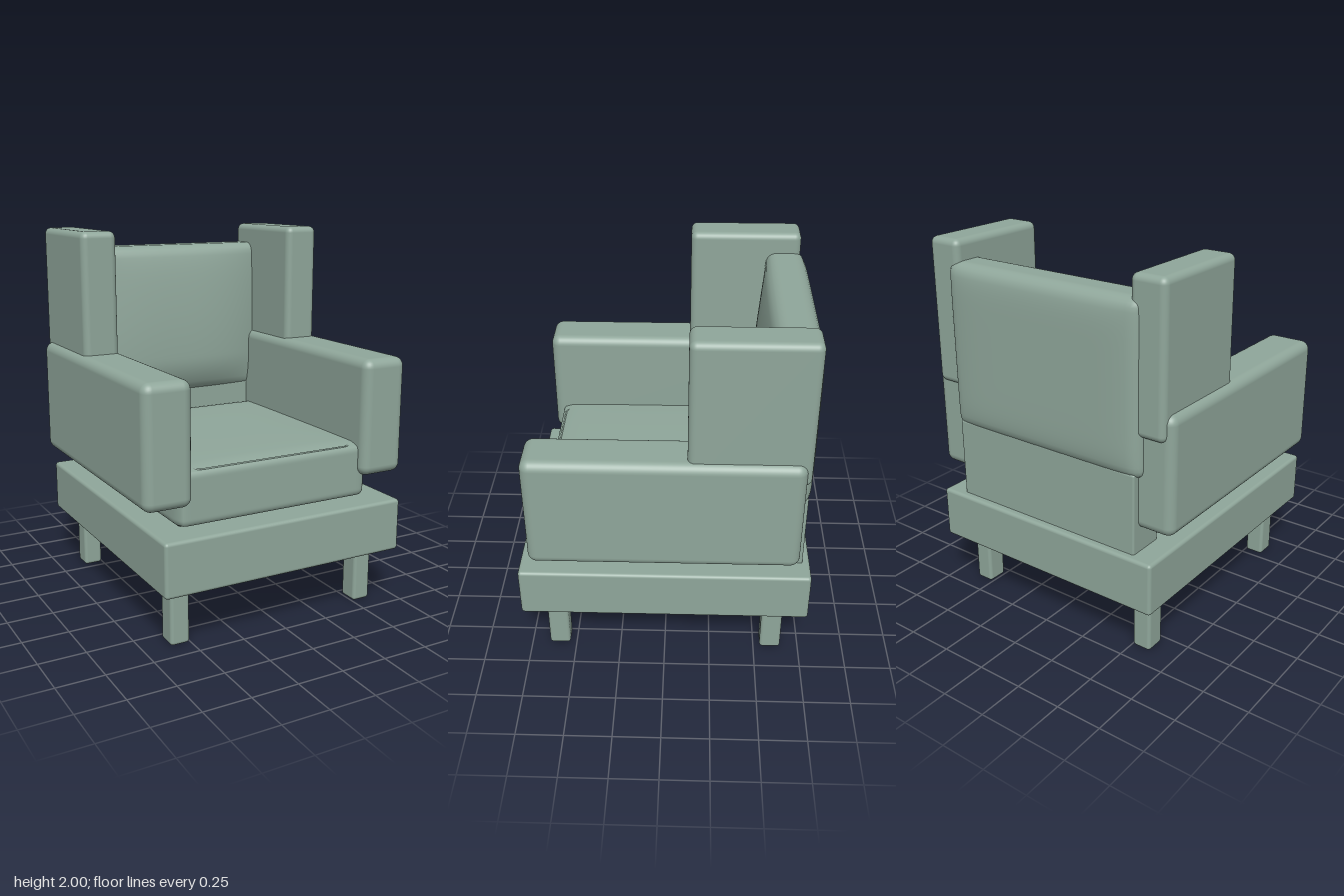
import * as THREE from 'three';
import { RoundedBoxGeometry } from 'three/addons/geometries/RoundedBoxGeometry.js';
import { mergeVertices } from 'three/addons/utils/BufferGeometryUtils.js';

const fabric = new THREE.MeshStandardMaterial({ color: 0x8fa69a });

// Rounded block given by its minimum and maximum corners
function block(name, min, max, radius) {
  const [w, h, d] = max.map((v, i) => v - min[i]);
  const mesh = new THREE.Mesh(new RoundedBoxGeometry(w, h, d, 4, radius), fabric);
  mesh.position.set(...max.map((v, i) => (v + min[i]) / 2));
  mesh.name = name;
  return mesh;
}

// Finely divided rounded block whose surface is pushed out by a rule
function cushion(name, min, max, radius, bulge) {
  const size = new THREE.Vector3(...max).sub(new THREE.Vector3(...min));
  const inner = size.clone().multiplyScalar(0.5).subScalar(radius);
  let geo = new THREE.BoxGeometry(size.x, size.y, size.z, 48, 40, 20);
  geo.deleteAttribute('uv');
  geo.deleteAttribute('normal');
  geo = mergeVertices(geo);
  const pos = geo.attributes.position;
  const p = new THREE.Vector3(), core = new THREE.Vector3();
  for (let i = 0; i < pos.count; i++) {
    p.fromBufferAttribute(pos, i);
    core.copy(p).clamp(inner.clone().negate(), inner);
    p.sub(core).normalize().multiplyScalar(radius).add(core);
    bulge(p, (2 * p.x) / size.x, (2 * p.y) / size.y, (2 * p.z) / size.z);
    pos.setXYZ(i, p.x, p.y, p.z);
  }
  geo.computeVertexNormals();
  const mesh = new THREE.Mesh(geo, fabric);
  mesh.position.set(...max.map((v, i) => (v + min[i]) / 2));
  mesh.name = name;
  return mesh;
}

// Thin stitched seam along straight runs
function seam(name, points) {
  const path = new THREE.CurvePath();
  const pts = points.map((q) => new THREE.Vector3(...q));
  for (let i = 1; i < pts.length; i++) path.add(new THREE.LineCurve3(pts[i - 1], pts[i]));
  const mesh = new THREE.Mesh(new THREE.TubeGeometry(path, 40, 0.006, 6), fabric);
  mesh.name = name;
  return mesh;
}

export function createModel() {
  const chair = new THREE.Group();
  chair.name = 'armchair';

  // Plinth
  chair.add(block('base', [-0.695, 0.315, -0.775], [0.695, 0.6, 0.775], 0.018));

  for (const s of [-1, 1]) {
    const side = s > 0 ? 'left' : 'right';
    const mirrored = (name, a, b, r) => {
      const xs = [s * a[0], s * b[0]].sort((m, n) => m - n);
      chair.add(block(name, [xs[0], a[1], a[2]], [xs[1], b[1], b[2]], r));
    };
    // Legs, arms and wings
    mirrored(side + 'FrontLeg', [0.505, 0, 0.535], [0.61, 0.33, 0.65], 0.018);
    mirrored(side + 'BackLeg', [0.505, 0, -0.65], [0.61, 0.33, -0.535], 0.018);
    mirrored(side + 'Arm', [0.5, 0.725, -0.695], [0.76, 1.355, 0.7], 0.05);
    mirrored(side + 'Wing', [0.53, 1.22, -0.72], [0.725, 2, -0.115], 0.035);
  }

  // Lower back panel
  chair.add(block('lowerBack', [-0.57, 0.59, -0.735], [0.57, 1.03, -0.53], 0.01));

  // Seat: nearly flat top with a gentle crown
  chair.add(cushion('seat', [-0.56, 0.6, -0.56], [0.56, 0.9, 0.65], 0.045, (p, u, v, w) => {
    if (v > 0) p.y += 0.012 * v * (1 - u ** 4) * (1 - w ** 4);
  }));
  chair.add(seam('seatSeam', [[-0.52, 0.898, 0.55], [-0.44, 0.889, 0.628], [0.44, 0.889, 0.628], [0.52, 0.898, 0.55]]));

  // Back cushion: front fullest low down, back softly domed
  chair.add(cushion('backCushion', [-0.6, 1.0, -0.73], [0.6, 1.89, -0.535], 0.05, (p, u, v, w) => {
    const across = 1 - Math.abs(u) ** 3;
    if (w > 0) {
      const t = (v + 1) / 2;
      const profile = t < 0.25 ? Math.sin((t / 0.25) * Math.PI / 2) : Math.cos(((t - 0.25) / 0.75) * Math.PI / 2);
      p.z += 0.08 * w * across * (0.25 * (1 - v ** 6) + 0.75 * profile);
    } else {
      p.z += 0.03 * w * (1 - u ** 8) * (1 - v ** 8);
    }
  }));
  chair.add(seam('backSeam', [[-0.54, 1.845, -0.537], [0.54, 1.845, -0.537]]));

  return chair;
}
